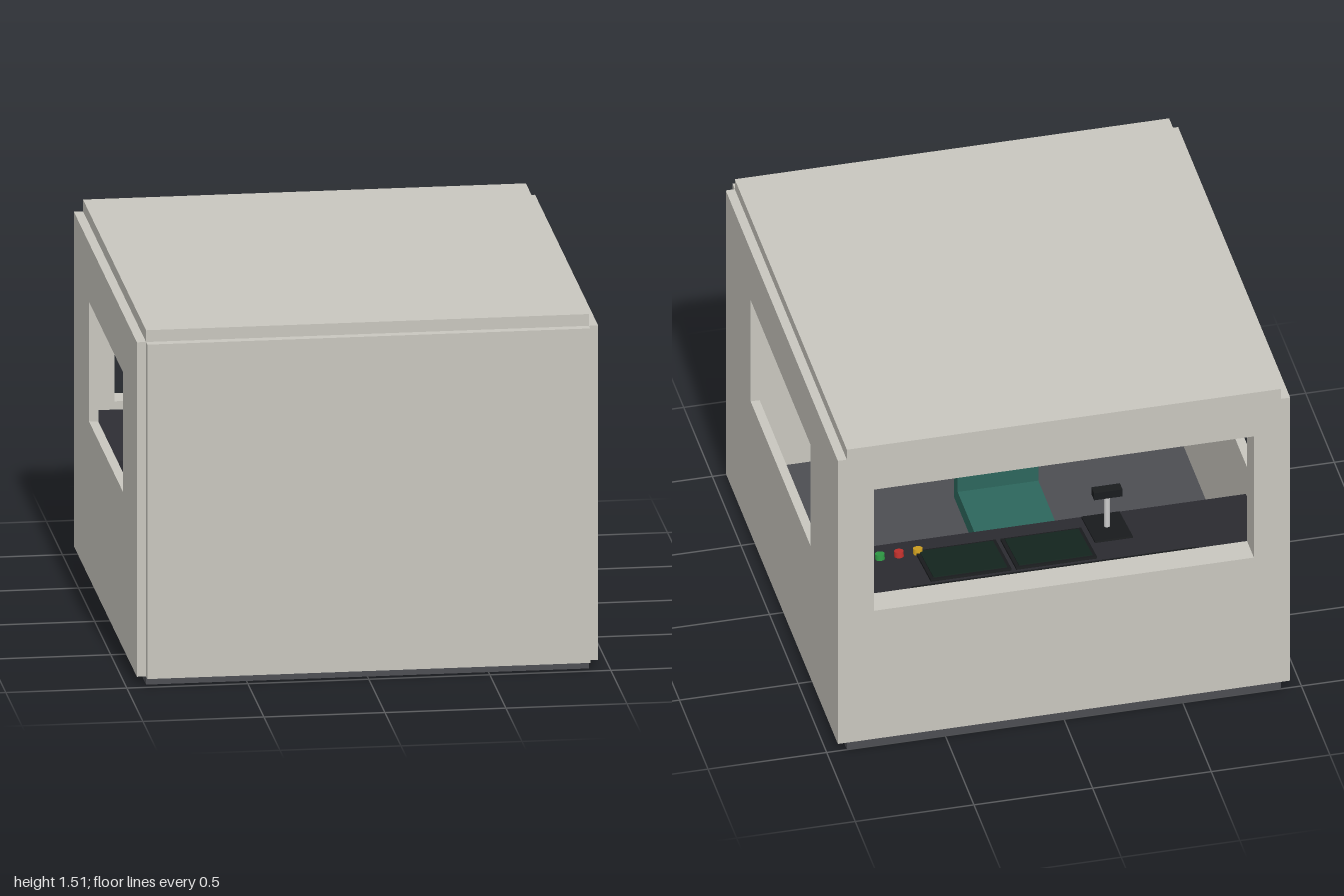
import * as THREE from 'three';

const mat = (color) => new THREE.MeshStandardMaterial({ color });
const shell = mat(0xc8c6be), floorMat = mat(0x4c4d52), dark = mat(0x2c2c32);
const black = mat(0x1a1c1e), teal = mat(0x2c665c), screenMat = mat(0x14261f), steel = mat(0xcccccc);

function add(parent, name, geometry, material, x = 0, y = 0, z = 0) {
  const mesh = new THREE.Mesh(geometry, material);
  mesh.name = name;
  mesh.position.set(x, y, z);
  parent.add(mesh);
  return mesh;
}

// Box given by its limits on each axis
function block(parent, name, material, [x0, x1], [y0, y1], [z0, z1]) {
  return add(parent, name, new THREE.BoxGeometry(x1 - x0, y1 - y0, z1 - z0), material,
    (x0 + x1) / 2, (y0 + y1) / 2, (z0 + z1) / 2);
}

const rect = (u0, u1, v0, v1) =>
  [[u0, v0], [u1, v0], [u1, v1], [u0, v1]].map(([u, v]) => new THREE.Vector2(u, v));

// Wall panel with one window opening
function windowWall(outer, hole, depth) {
  const shape = new THREE.Shape(rect(...outer));
  shape.holes.push(new THREE.Path(rect(...hole)));
  return new THREE.ExtrudeGeometry(shape, { depth, bevelEnabled: false });
}

// Sloping console top
const SLOPE = 1 / 6;
const deckY = (z) => 0.645 - (z + 0.88) * SLOPE;
function onDeck(parent, name, geometry, material, x, z, lift = 0) {
  const mesh = add(parent, name, geometry, material, x, deckY(z) + lift, z);
  mesh.rotation.x = Math.atan(SLOPE);
  return mesh;
}

function createShell() {
  const g = new THREE.Group();
  g.name = 'cabShell';
  block(g, 'floor', floorMat, [-0.915, 0.915], [0, 0.035], [-1, 0.96]);
  block(g, 'roof', shell, [-0.915, 0.915], [1.46, 1.51], [-1, 0.96]);
  block(g, 'rearWall', shell, [-0.915, 0.915], [0.035, 1.46], [0.96, 1]);

  // Side walls with square windows
  for (const [name, x] of [['leftWall', 0.953], ['rightWall', -0.915]]) {
    const geo = windowWall([-1, 0.96, 0.035, 1.46], [-0.525, 0.525, 0.7, 1.21], 0.038);
    geo.rotateY(-Math.PI / 2);
    add(g, name, geo, shell, x);
  }

  // Thick end wall with the wide windscreen opening
  add(g, 'windscreenWall', windowWall([-0.915, 0.915, 0.035, 1.46], [-0.8, 0.8, 0.68, 1.29], 0.12),
    shell, 0, 0, -1);

  // Door on the inside of the closed wall
  block(g, 'door', dark, [-0.32, 0.32], [0.035, 1.25], [0.945, 0.962]);

  // Overhead fittings
  block(g, 'sunBlind', black, [-0.82, 0.82], [1.275, 1.305], [-0.88, -0.85]);
  block(g, 'overheadPanel', black, [-0.78, 0.78], [1.42, 1.46], [-0.61, -0.49]);
  return g;
}

function createConsole() {
  const g = new THREE.Group();
  g.name = 'controlDesk';

  // Desk body: one side profile run across the cab
  const profile = [[-0.88, 0.035], [-0.58, 0.035], [-0.58, 0.42], [-0.4, 0.5],
    [-0.4, deckY(-0.4)], [-0.88, deckY(-0.88)]];
  const shape = new THREE.Shape(profile.map(([z, y]) => new THREE.Vector2(z, y)));
  const body = new THREE.ExtrudeGeometry(shape, { depth: 1.82, bevelEnabled: false });
  body.rotateY(-Math.PI / 2);
  add(g, 'deskBody', body, dark, 0.91);

  // Displays
  for (const x of [0.34, -0.02]) {
    onDeck(g, 'displayFrame', new THREE.BoxGeometry(0.34, 0.02, 0.28), black, x, -0.65);
    onDeck(g, 'displayScreen', new THREE.BoxGeometry(0.31, 0.02, 0.25), screenMat, x, -0.65, 0.004);
  }
  onDeck(g, 'airVent', new THREE.BoxGeometry(1.2, 0.016, 0.04), black, 0, -0.84);

  // Push buttons
  [[0.66, 0x2f9a45], [0.58, 0xc0302c], [0.5, 0xd0a020]].forEach(([x, color]) =>
    onDeck(g, 'pushButton', new THREE.CylinderGeometry(0.02, 0.02, 0.03, 16), mat(color), x, -0.52, 0.01));

  // Control lever with a cross handle
  onDeck(g, 'leverPlate', new THREE.BoxGeometry(0.16, 0.016, 0.24), black, -0.295, -0.53);
  add(g, 'leverStem', new THREE.CylinderGeometry(0.012, 0.012, 0.18, 12), steel, -0.295, 0.67, -0.527);
  add(g, 'leverHandle', new THREE.BoxGeometry(0.12, 0.035, 0.045), black, -0.295, 0.767, -0.527);
  return g;
}

function createSeat() {
  const g = new THREE.Group();
  g.name = 'driverSeat';
  block(g, 'seatCushion', teal, [-0.17, 0.17], [0.3, 0.37], [-0.18, 0.215]);
  block(g, 'seatBack', teal, [-0.17, 0.17], [0.37, 0.79], [0.155, 0.215]);
  add(g, 'seatPost', new THREE.CylinderGeometry(0.04, 0.04, 0.27, 16), dark, 0, 0.165, 0.02);
  add(g, 'seatFoot', new THREE.CylinderGeometry(0.12, 0.12, 0.02, 24), dark, 0, 0.045, 0.02);
  return g;
}

export function createModel() {
  const model = new THREE.Group();
  model.name = 'driverCab';
  model.add(createShell(), createConsole(), createSeat());
  return model;
}
